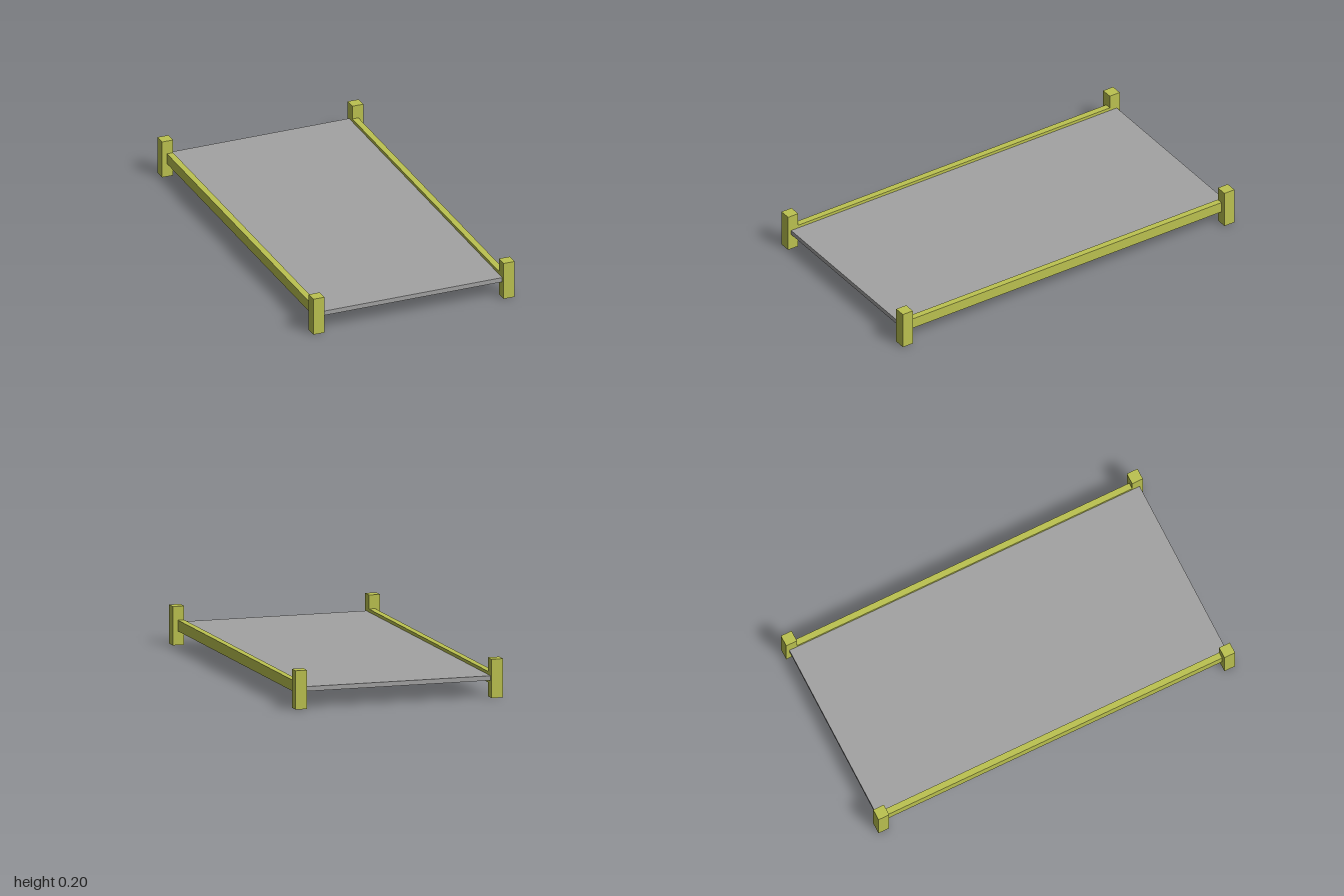
import * as THREE from 'three';

export function createModel() {
  const model = new THREE.Group();
  model.name = 'lowPlatform';

  const olive = new THREE.MeshStandardMaterial({ color: 0xbcc250 });
  olive.name = 'olive frame';
  const grey = new THREE.MeshStandardMaterial({ color: 0xa3a3a3 });
  grey.name = 'grey panel';

  const addBox = (name, material, size, position) => {
    const mesh = new THREE.Mesh(new THREE.BoxGeometry(...size), material);
    mesh.name = name;
    mesh.position.set(...position);
    model.add(mesh);
  };

  const postSize = 0.06, postHeight = 0.198, midY = postHeight / 2;
  const innerX = 0.489; // inner face shared by posts and rails
  const railWidth = 0.033, railHeight = 0.056;

  // Flat panel between the rails
  addBox('panel', grey, [innerX * 2, 0.024, 1.964], [0, midY, 0]);

  for (const side of [-1, 1]) {
    const label = side > 0 ? 'left' : 'right';

    // Side rail, flush with the inner faces of the posts
    addBox(`${label}Rail`, olive, [railWidth, railHeight, 2 - postSize * 2],
      [side * (innerX + railWidth / 2), midY, 0]);

    // Corner posts
    for (const end of [-1, 1]) {
      addBox(`${label}${end > 0 ? 'Front' : 'Back'}Post`, olive,
        [postSize, postHeight, postSize],
        [side * (innerX + postSize / 2), midY, end * (1 - postSize / 2)]);
    }
  }

  return model;
}
